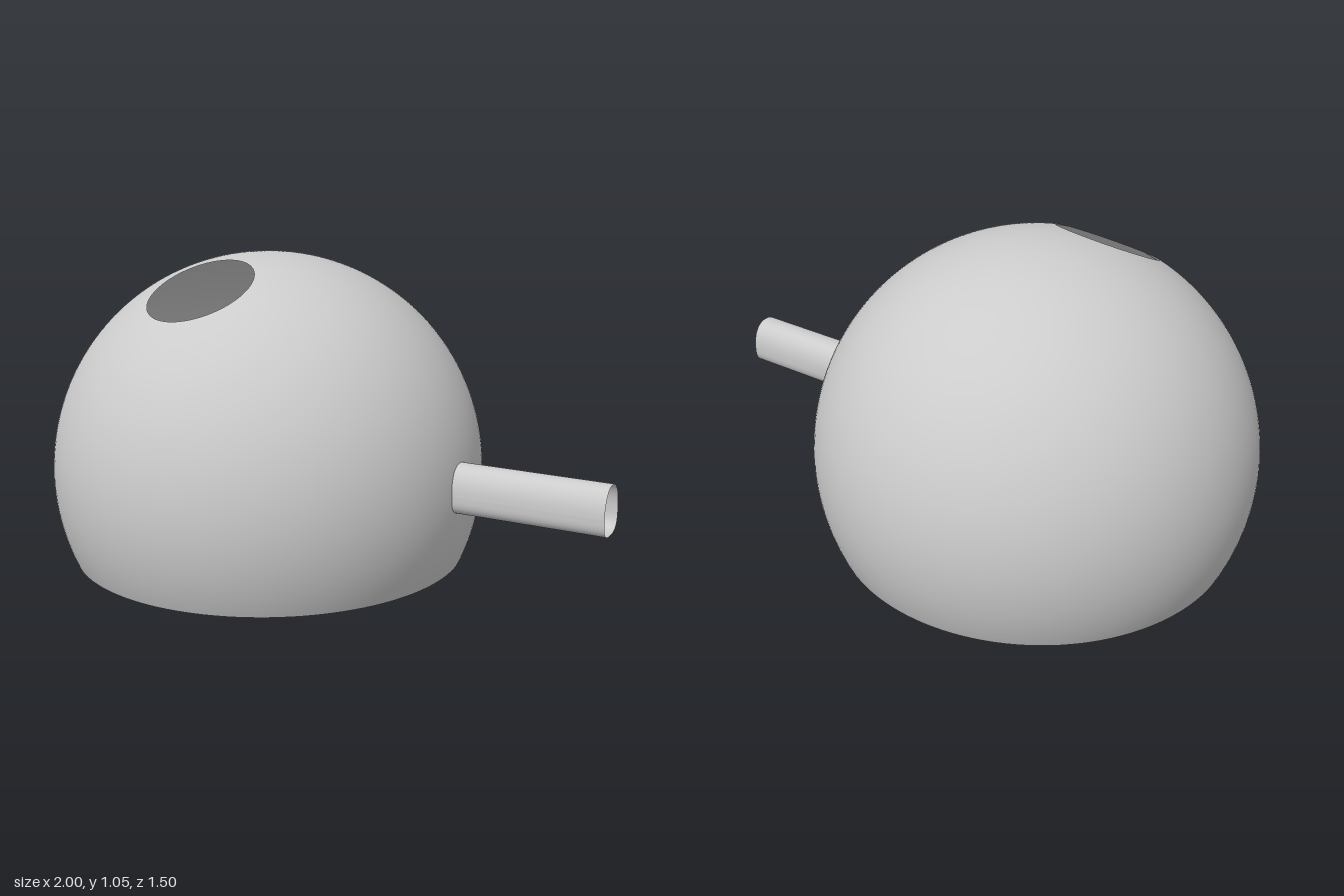
import * as THREE from 'three';

const R = 0.75;                                        // dome radius
const CENTRE = new THREE.Vector3(-0.25, 0.3, 0);       // dome centre
const HOLE_DIR = new THREE.Vector3(-0.07, 0.66, 0.31).normalize();
const HOLE_ANGLE = Math.asin(0.185 / R);               // half-angle of the opening
const BASE_ANGLE = Math.acos(-CENTRE.y / R);           // angle where the floor cuts

export function createModel() {
  const model = new THREE.Group();
  const mat = new THREE.MeshStandardMaterial({ color: 0xcccccc, side: THREE.DoubleSide });
  const add = (name, geometry) => {
    const mesh = new THREE.Mesh(geometry, mat);
    mesh.name = name;
    model.add(mesh);
    return mesh;
  };

  // Dome shell: rings lean from the tilted opening down to the level base
  const dome = new THREE.SphereGeometry(R, 128, 72, 0, Math.PI * 2, HOLE_ANGLE, BASE_ANGLE - HOLE_ANGLE);
  const up = new THREE.Vector3(0, 1, 0);
  const axis = up.clone().cross(HOLE_DIR).normalize();
  const tilt = up.angleTo(HOLE_DIR);
  const pos = dome.attributes.position;
  const v = new THREE.Vector3();
  for (let i = 0; i < pos.count; i++) {
    v.fromBufferAttribute(pos, i);
    const t = (v.angleTo(up) - HOLE_ANGLE) / (BASE_ANGLE - HOLE_ANGLE);
    v.applyAxisAngle(axis, tilt * (1 - t));
    pos.setXYZ(i, v.x, v.y, v.z);
    v.normalize();
    dome.attributes.normal.setXYZ(i, v.x, v.y, v.z);
  }
  add('dome', dome).position.copy(CENTRE);

  // Flat floor closing the dome
  const floor = new THREE.CircleGeometry(R * Math.sin(BASE_ANGLE), 128);
  floor.rotateX(Math.PI / 2);
  add('floor', floor).position.x = CENTRE.x;

  // Side spout: open tube with an arched top and flattened bottom
  const x0 = 0.487, x1 = 1;
  const spout = new THREE.CylinderGeometry(1, 1, x1 - x0, 48, 1, true);
  spout.rotateZ(-Math.PI / 2);
  const p = spout.attributes.position;
  const bend = (n, e) => Math.sign(n) * Math.abs(n) ** e;
  for (let i = 0; i < p.count; i++) {
    const y = p.getY(i), z = p.getZ(i);
    const e = y > 0 ? 0.9 : 0.67;
    p.setY(i, bend(y, e) * (y > 0 ? 0.096 : 0.069));
    p.setZ(i, bend(z, e) * 0.069);
  }
  spout.computeVertexNormals();
  add('spout', spout).position.set((x0 + x1) / 2, 0.315, 0.027);

  return model;
}
